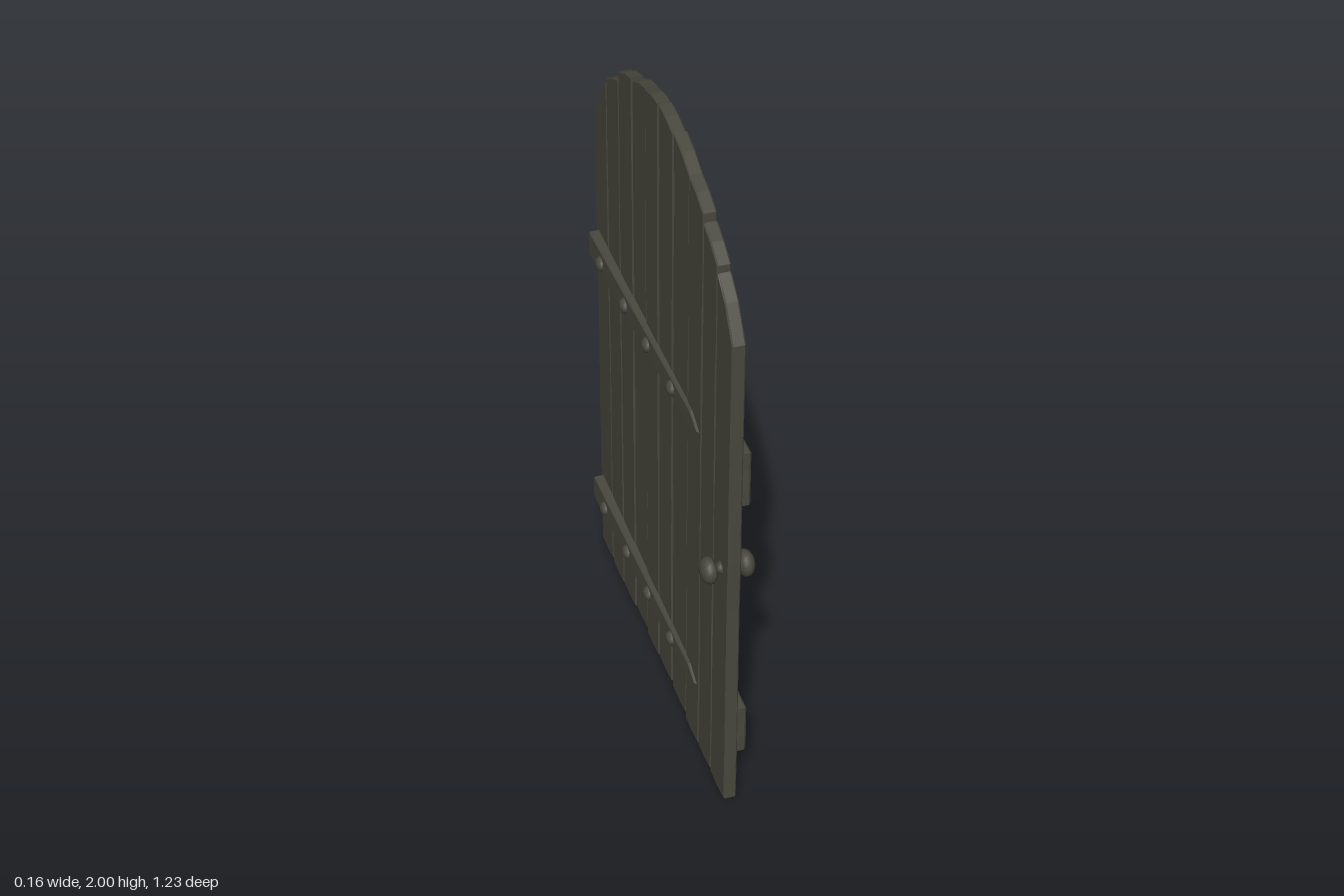
import * as THREE from 'three';

const wood = new THREE.MeshStandardMaterial({ color: 0x48483e, flatShading: true });
wood.name = 'weathered dark wood';
const smooth = new THREE.MeshStandardMaterial({ color: 0x48483e });
smooth.name = 'dark iron';

// small seeded random, -1..1
let seed = 11;
const rnd = () => {
  seed = (seed * 16807) % 2147483647;
  return (seed / 2147483647) * 2 - 1;
};

// A board outlined in (z, y) points and extruded along x from x0 to x1, with a worn edge
function board(name, points, x0, x1, bevel = 0.004) {
  const shape = new THREE.Shape(points.map(([z, y]) => new THREE.Vector2(-z, y)));
  const geo = new THREE.ExtrudeGeometry(shape, {
    depth: x1 - x0 - 2 * bevel, bevelEnabled: true, bevelSegments: 1,
    bevelThickness: bevel, bevelSize: bevel, bevelOffset: -bevel,
  });
  geo.translate(0, 0, x0 + bevel);
  geo.rotateY(Math.PI / 2); // shape x -> -z, depth -> +x
  const mesh = new THREE.Mesh(geo, wood);
  mesh.name = name;
  return mesh;
}

// Points from a to b with a slight wobble across the edge (end point left out)
function roughEdge(a, b, steps, wobble) {
  const pts = [];
  const len = Math.hypot(b[0] - a[0], b[1] - a[1]);
  const n = [-(b[1] - a[1]) / len, (b[0] - a[0]) / len];
  for (let i = 0; i < steps; i++) {
    const t = i / steps, w = i ? rnd() * wobble : 0;
    pts.push([a[0] + (b[0] - a[0]) * t + n[0] * w, a[1] + (b[1] - a[1]) * t + n[1] * w]);
  }
  return pts;
}

function roughQuad(corners, steps, wobble) {
  return corners.flatMap((c, i) => roughEdge(c, corners[(i + 1) % 4], steps[i % 2], wobble));
}

// Turned part whose axis points along +x or -x
function turned(name, profile, sides, x, y, z, side) {
  const mesh = new THREE.Mesh(
    new THREE.LatheGeometry(profile.map(([r, h]) => new THREE.Vector2(r, h)), sides), smooth);
  mesh.rotation.z = -side * Math.PI / 2;
  mesh.position.set(x, y, z);
  mesh.name = name;
  return mesh;
}

export function createModel() {
  const door = new THREE.Group();
  door.name = 'plankDoor';

  // Planks: shared seams, with the top heights at both edges of each plank
  const seams = [0.615, 0.49, 0.375, 0.255, 0.12, -0.005, -0.12, -0.245, -0.37, -0.49, -0.612];
  const tops = [[1.645, 1.79], [1.81, 1.87], [1.895, 1.94], [1.935, 1.985], [1.98, 2.0],
    [2.0, 1.98], [1.98, 1.935], [1.94, 1.89], [1.86, 1.80], [1.785, 1.63]];
  const feet = [0.006, 0.006, 0.003, 0.012, 0.022, 0.018, 0.022, 0.012, 0.003, 0.005];
  const planks = new THREE.Group();
  planks.name = 'planks';
  tops.forEach(([ta, tb], i) => {
    const a = seams[i] - (i ? 0.002 : 0), b = seams[i + 1] + (i < 9 ? 0.002 : 0);
    const f = feet[i], mid = (a + b) / 2;
    const bulge = i === 0 || i === 9 ? 0.022 : 0.006;
    const outline = [
      ...roughEdge([a, f + 0.008], [mid, f], 1, 0),
      ...roughEdge([mid, f], [b, f + 0.004], 1, 0),
      ...roughEdge([b, f + 0.004], [b, tb], 9, 0.0035),
      [b, tb],
      [mid, Math.min(2, (ta + tb) / 2 + bulge)],
      ...roughEdge([a, ta], [a, f + 0.008], 9, 0.0035),
    ];
    const shift = rnd() * 0.002;
    planks.add(board('plank', outline, -0.02 + shift, 0.018 + shift));
  });
  door.add(planks);

  // Two cross battens and the diagonal brace
  door.add(
    board('upperBatten', roughQuad(
      [[0.59, 1.09], [-0.545, 1.088], [-0.545, 1.253], [0.59, 1.268]], [7, 3], 0.004), 0.015, 0.05, 0.006),
    board('lowerBatten', roughQuad(
      [[0.583, 0.163], [-0.533, 0.157], [-0.533, 0.334], [0.583, 0.33]], [7, 3], 0.004), 0.015, 0.056, 0.006),
    board('diagonalBrace', roughQuad(
      [[0.568, 0.33], [0.345, 0.33], [-0.536, 1.092], [-0.31, 1.092]], [1, 7], 0.004), 0.014, 0.038));

  // Round-headed bolts through the battens
  const boltHead = [[0.023, 0], [0.024, 0.006], [0.02, 0.014], [0.011, 0.019], [0, 0.02]];
  const bolt = (x, y, z, side) => door.add(turned('bolt', boltHead, 10, x, y, z, side));
  [0.47, 0.228, 0, -0.224, -0.445].forEach((z) => bolt(0.048, 1.19, z, 1));
  [0.47, 0.215, -0.01, -0.235, -0.455].forEach((z) => bolt(0.054, 0.255, z, 1));

  // Tapered hinge straps on the other face, thinning towards the tip
  for (const y of [1.178, 0.24]) {
    const strap = board('hingeStrap', [[-0.6, y - 0.034], [-0.59, y - 0.043], [0.3, y - 0.03],
      [0.36, y], [0.3, y + 0.03], [-0.59, y + 0.043], [-0.6, y + 0.034]], -0.05, -0.015, 0.004);
    const p = strap.geometry.attributes.position;
    for (let i = 0; i < p.count; i++) {
      const t = (p.getZ(i) + 0.6) / 0.96;
      if (p.getX(i) < -0.03) p.setX(i, p.getX(i) + 0.023 * t);
    }
    strap.geometry.computeVertexNormals();
    door.add(strap);
    [-0.48, -0.26, -0.06, 0.15].forEach((z) => bolt(-0.046 + 0.023 * (z + 0.6) / 0.96, y, z, -1));
  }

  // A knob with a short neck on each face
  const knob = [[0.022, 0], [0.016, 0.006], [0.015, 0.016], [0.03, 0.02], [0.039, 0.029],
    [0.039, 0.041], [0.032, 0.052], [0.018, 0.059], [0, 0.061]];
  for (const side of [1, -1]) {
    door.add(turned('knob', knob, 20, side > 0 ? 0.014 : -0.019, 0.855, 0.555, side));
  }
  return door;
}
